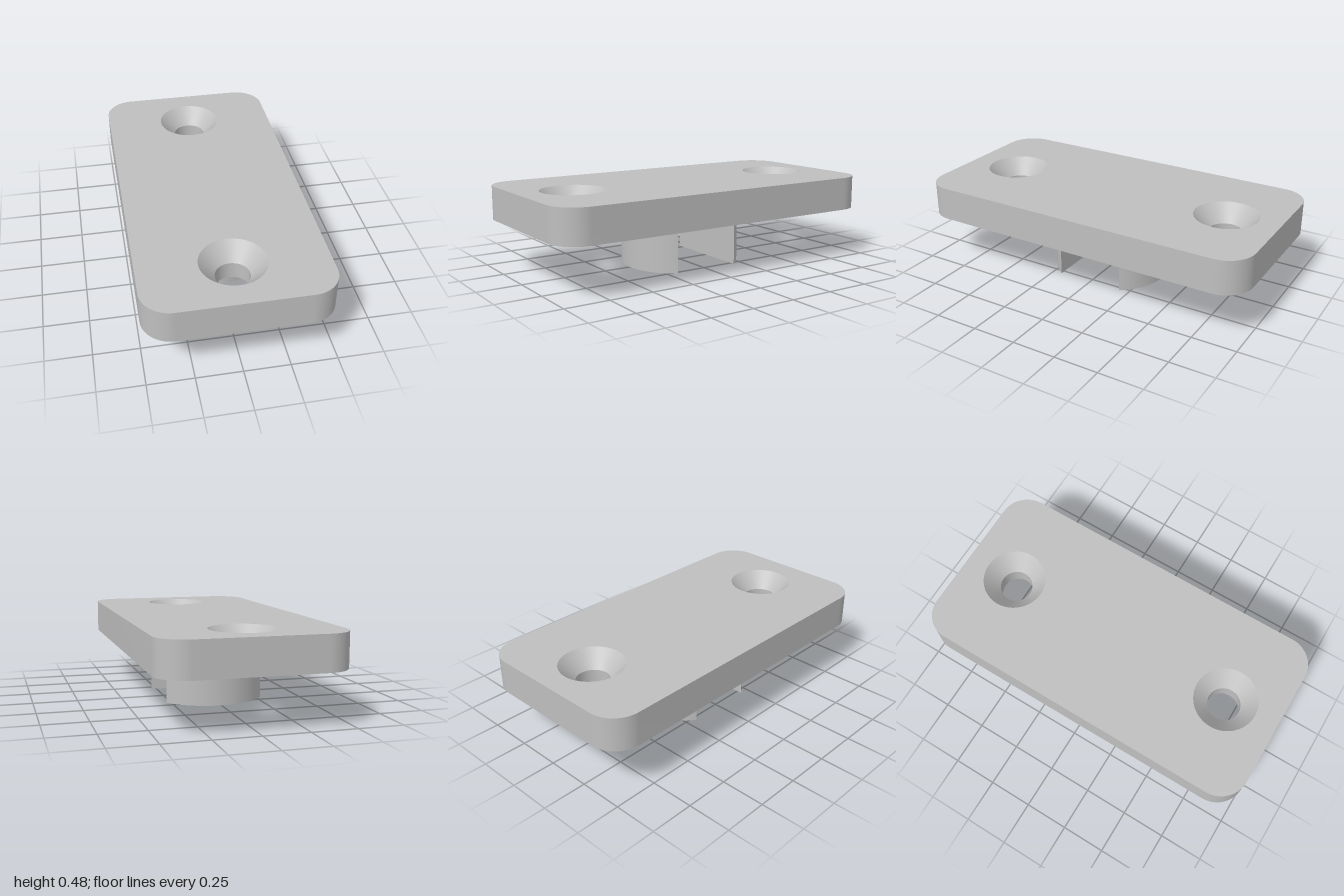
import * as THREE from 'three';
import { toCreasedNormals } from 'three/addons/utils/BufferGeometryUtils.js';

const BASE = 0.286, THICK = 0.191;          // underside height and thickness of the plate
const HOLE = 0.093, SINK = 0.179;           // screw hole and countersink radii
const HOLE_Z = [-0.696, 0.69];

// Extrude a plan shape upwards and keep only its curved walls smooth
function extrudeUp(shape, depth, steps = 1, rule) {
  const geo = new THREE.ExtrudeGeometry(shape, { depth, steps, bevelEnabled: false, curveSegments: 24 });
  geo.rotateX(-Math.PI / 2);
  if (rule) rule(geo.attributes.position);
  return toCreasedNormals(geo, 0.5);
}

function roundedPlate(w, l, r) {
  const s = new THREE.Shape();
  s.absarc(w - r, l - r, r, 0, Math.PI / 2);
  s.absarc(r - w, l - r, r, Math.PI / 2, Math.PI);
  s.absarc(r - w, r - l, r, Math.PI, Math.PI * 1.5);
  s.absarc(w - r, r - l, r, Math.PI * 1.5, Math.PI * 2);
  s.closePath();
  return s;
}

export function createModel() {
  const model = new THREE.Group();
  const grey = new THREE.MeshStandardMaterial({ color: 0xbfbfbf });
  grey.name = 'grey';

  const add = (name, geometry, y) => {
    const mesh = new THREE.Mesh(geometry, grey);
    mesh.name = name;
    mesh.position.y = y;
    model.add(mesh);
    return mesh;
  };

  // Plate with two countersunk holes: the lower two rings of each hole are drawn in
  const outline = roundedPlate(0.5, 1, 0.16);
  for (const z of HOLE_Z) {
    outline.holes.push(new THREE.Path().absarc(0, -z, SINK, 0, Math.PI * 2, true));
  }
  const countersink = (p) => {
    for (let i = 0; i < p.count; i++) {
      const x = p.getX(i), y = p.getY(i), z = p.getZ(i);
      if (y > THICK - 0.01) continue;
      for (const c of HOLE_Z) {
        if (Math.hypot(x, z - c) < SINK + 0.005) {
          const k = HOLE / SINK;
          p.setXYZ(i, x * k, y, c + (z - c) * k);
        }
      }
    }
  };
  add('plate', extrudeUp(outline, THICK, 2, countersink), BASE);

  // Two lugs: circle segments with their flat sides facing each other
  const R = 0.3395, a = Math.asin(0.195 / R);
  const segment = new THREE.Shape();
  segment.absarc(0, 0, R, a, Math.PI - a);
  segment.closePath();
  const lug = extrudeUp(segment, BASE, 1);
  for (const [name, turn] of [['backLug', 0], ['frontLug', Math.PI]]) {
    const mesh = add(name, lug, 0);
    mesh.rotation.y = turn;
    mesh.position.z = 0.0025;
  }

  // Thin seat between the lugs
  add('slotSeat', new THREE.BoxGeometry(0.746, 0.004, 0.39), BASE);

  return model;
}
